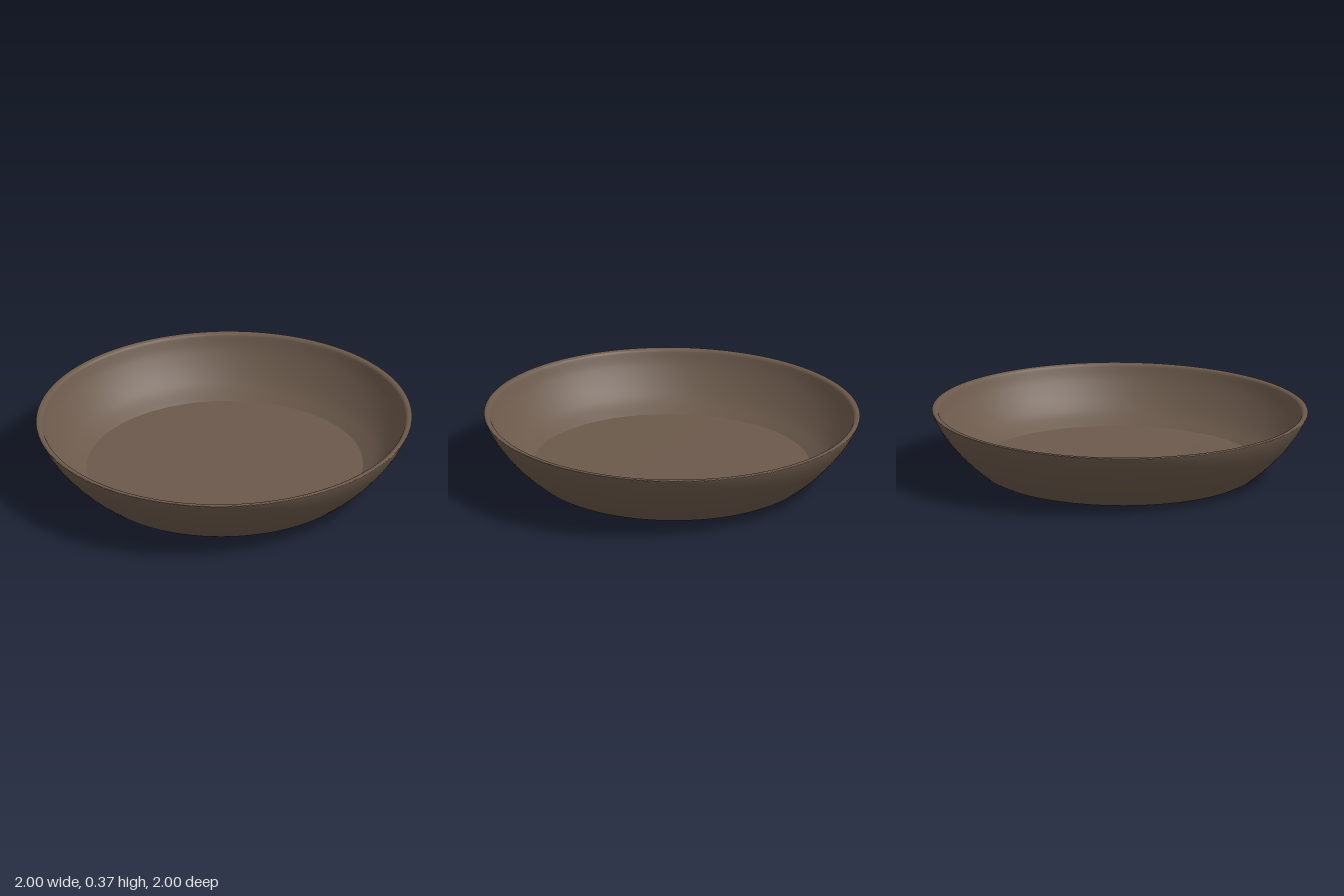
import * as THREE from 'three';
import { toCreasedNormals } from 'three/addons/utils/BufferGeometryUtils.js';

const clay = new THREE.MeshStandardMaterial({ color: 0x6b594b });
clay.name = 'brown clay';

const SEGMENTS = 96;
const points = (list) => list.map(([r, y]) => new THREE.Vector2(r, y));
const smooth = (list, n) => new THREE.SplineCurve(points(list)).getPoints(n);

// Revolve a profile, keeping only sharp corners creased
function turned(name, profile) {
  const geometry = toCreasedNormals(new THREE.LatheGeometry(profile, SEGMENTS), 0.6);
  const mesh = new THREE.Mesh(geometry, clay);
  mesh.name = name;
  return mesh;
}

export function createModel() {
  const bowl = new THREE.Group();
  bowl.name = 'bowl';

  // Recessed underside and rounded foot edge
  bowl.add(turned('underside', smooth([
    [0, 0.017], [0.3, 0.017], [0.58, 0.017], [0.635, 0.012], [0.665, 0.001], [0.69, 0], [0.715, 0.007], [0.74, 0.022],
  ], 40)));

  // Flaring outer wall
  bowl.add(turned('outerWall', smooth([
    [0.74, 0.022], [0.82, 0.09], [0.9, 0.175], [0.955, 0.25], [0.985, 0.302], [0.998, 0.332],
  ], 24)));

  // Narrow rounded lip
  bowl.add(turned('rim', smooth([
    [0.998, 0.332], [1, 0.337], [0.995, 0.341], [0.982, 0.341], [0.97, 0.336], [0.964, 0.326],
  ], 14)));

  // Inner wall curving down to the floor
  bowl.add(turned('innerWall', smooth([
    [0.964, 0.326], [0.935, 0.265], [0.88, 0.185], [0.815, 0.115], [0.735, 0.06],
  ], 24)));

  // Flat inner floor
  bowl.add(turned('floor', points([[0.735, 0.06], [0.4, 0.058], [0, 0.058]])));

  // Low raised ring in the middle of the underside
  const ring = new THREE.Mesh(new THREE.TorusGeometry(0.175, 0.024, 12, 64), clay);
  ring.name = 'undersideRing';
  ring.rotation.x = Math.PI / 2;
  ring.scale.z = 0.6;
  ring.position.y = 0.017;
  bowl.add(ring);

  // The bowl sits very slightly tilted
  bowl.rotation.set(0.005, 0, 0.0145);
  bowl.position.set(0.003, 0.011, 0);

  const model = new THREE.Group();
  model.name = 'shallowBowl';
  model.add(bowl);
  return model;
}
